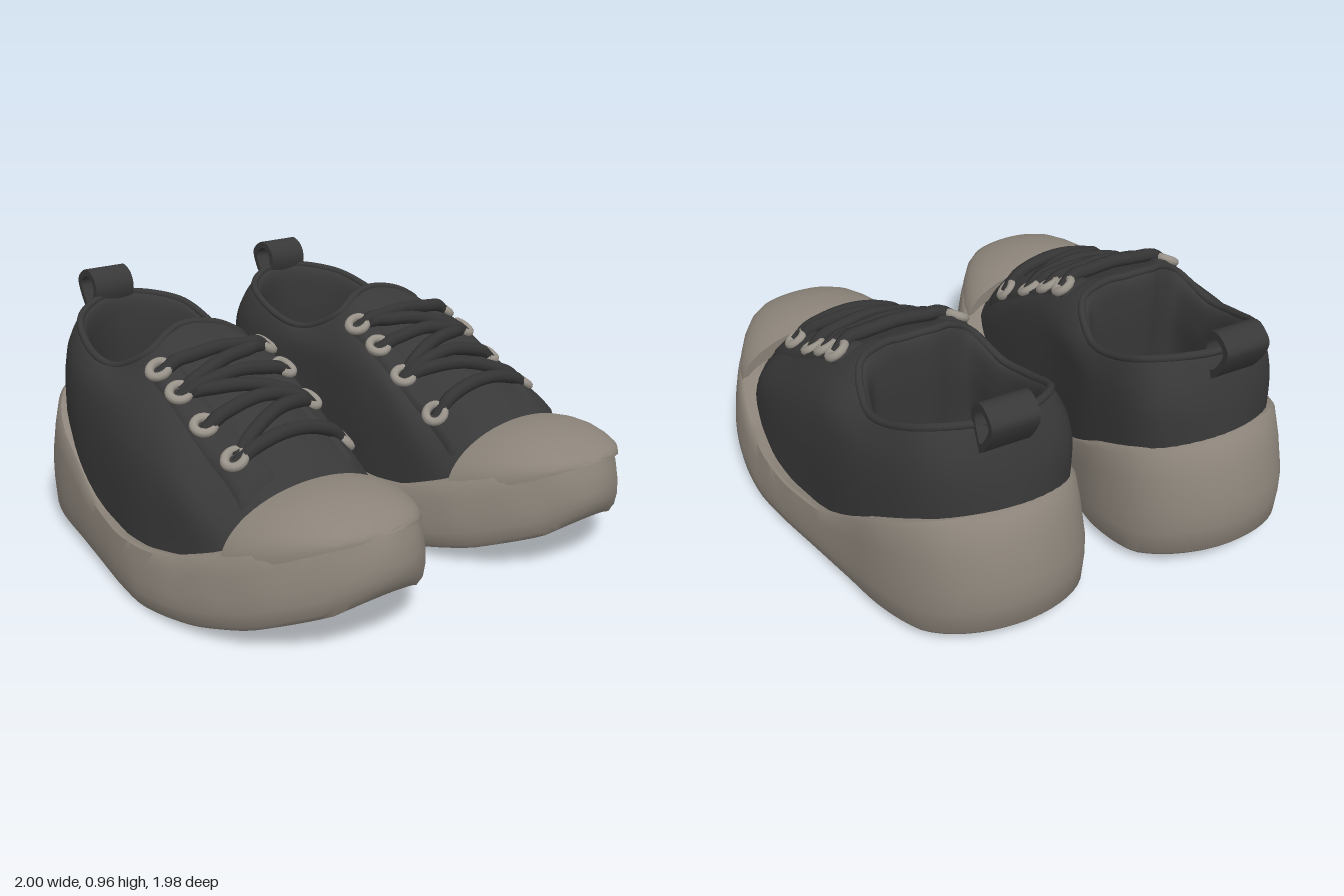
import * as THREE from 'three';
import { toCreasedNormals } from 'three/addons/utils/BufferGeometryUtils.js';

const V = (x, y, z) => new THREE.Vector3(x, y, z);

const mat = (name, color, side = THREE.FrontSide) => {
  const m = new THREE.MeshStandardMaterial({ color, side });
  m.name = name;
  return m;
};

// Grid surface from rows of points; rows may close on themselves.
function gridGeometry(rows, closed) {
  const n = rows[0].length, index = [];
  for (let j = 0; j < rows.length - 1; j++) {
    for (let i = 0; i < (closed ? n : n - 1); i++) {
      const k = (i + 1) % n, a = j * n + i, b = j * n + k, c = b + n, d = a + n;
      index.push(a, b, c, a, c, d);
    }
  }
  const g = new THREE.BufferGeometry().setFromPoints(rows.flat());
  g.setIndex(index);
  g.computeVertexNormals();
  return g;
}

// Linear lookup in a list of [x, value] pairs.
function lookup(table, x) {
  if (x <= table[0][0]) return table[0][1];
  for (let i = 1; i < table.length; i++) {
    const [x0, y0] = table[i - 1], [x1, y1] = table[i];
    if (x <= x1) return y0 + (y1 - y0) * (x - x0) / (x1 - x0);
  }
  return table[table.length - 1][1];
}

// Mirrored copy in z with the corner order turned round.
function mirrorZ(geometry) {
  const g = geometry.index ? geometry.toNonIndexed() : geometry.clone();
  g.scale(1, 1, -1);
  g.setIndex([...Array(g.attributes.position.count).keys()].map(i => [i, i + 1, i - 1][i % 3]));
  return g;
}

// Sole outline seen from above, as [x, z]
const OUTLINE = [[-1, .42], [-.97, .58], [-.9, .69], [-.8, .765], [-.64, .83], [-.42, .875], [-.2, .92], [.02, .965],
  [.2, .99], [.4, .985], [.6, .94], [.75, .87], [.88, .755], [.97, .62], [1, .5], [.965, .37], [.88, .26], [.76, .165],
  [.6, .085], [.4, .05], [.2, .08], [0, .125], [-.3, .1], [-.6, .06], [-.8, .1], [-.9, .17], [-.97, .28]];
const BOTTOM = [[-1, .09], [-.8, .03], [-.4, .015], [0, .003], [.2, 0], [.5, .03], [.7, .07], [.9, .14], [1, .22]];
const TOP = [[-1, .54], [-.85, .49], [-.62, .4], [-.4, .285], [-.3, .24], [-.2, .215], [0, .2], [.2, .21], [.4, .24],
  [.6, .3], [.8, .37], [.93, .41], [1, .41]];

function soleGeometry() {
  const outline = new THREE.CatmullRomCurve3(OUTLINE.map(([x, z]) => V(x, 0, z)), true).getSpacedPoints(110).slice(0, -1);
  // [scale, height share or null for the underside, lift, extra forefoot narrowing]
  const rings = [[.001, null, 0, 0], [.35, null, 0, 0], [.7, null, 0, 0], [.97, null, 0, 0], [.99, 0, .015, 0],
    [1, .25, 0, 0], [1, .45, 0, .01], [.988, .75, 0, .03], [.97, .97, 0, .045], [.95, 1, 0, .05], [.84, 1, -.02, .03]];
  const rows = rings.map(([s, share, lift, narrow]) => outline.map((p, i) => {
    let x = p.x * s;
    const front = THREE.MathUtils.smoothstep(p.x, -.1, .35);
    const z = .5 + (p.z - .5) * (s - narrow * front);
    if (share === null) return V(x, lookup(BOTTOM, x), z);
    const lo = lookup(BOTTOM, p.x), hi = lookup(TOP, p.x);
    if (share > .45) x += .055 * (share - .45) / .55 * THREE.MathUtils.smoothstep(-p.x, .55, 1);
    const ripple = p.x > -.1 && share > .3 && share < .9 ? .006 * Math.sin(i * 1.3) : 0;
    return V(x, lo + (hi - lo) * share + lift + ripple, z);
  }));
  return toCreasedNormals(gridGeometry(rows, true), .75);
}

// Upper rings: half loops from heel to toe on the outer side, [x, y, outer z, inner z]
const BASE = [[-.9, .5, .41, .41], [-.8, .45, .67, .17], [-.5, .3, .825, .1], [-.15, .17, .885, .14],
  [.2, .18, .92, .13], [.57, .25, .85, .18], [.62, .40, .7, .3], [.66, .39, .5, .5]];
const MIDDLE = [[-.88, .66, .415, .415], [-.79, .65, .67, .16], [-.5, .55, .815, .105], [-.18, .5, .865, .14],
  [.14, .47, .875, .145], [.43, .4, .85, .18], [.45, .52, .68, .3], [.45, .565, .48, .48]];
const SHOULDER = [[-.85, .78, .42, .42], [-.75, .75, .67, .17], [-.48, .66, .79, .12], [-.22, .65, .815, .145],
  [.02, .655, .775, .175], [.2, .59, .735, .21], [.16, .65, .6, .33], [.14, .68, .46, .46]];
const COLLAR = [[-.82, .85, .42, .42], [-.7, .81, .655, .195], [-.48, .725, .735, .155], [-.33, .705, .725, .18],
  [-.19, .775, .67, .24], [-.2, .83, .58, .33], [-.225, .845, .52, .4], [-.23, .85, .46, .46]];

const fullLoop = half => [
  ...half.map(([x, y, z]) => V(x, y, z)),
  ...half.slice(1, -1).reverse().map(([x, y, , z]) => V(x, y, z))];

function upperGeometry() {
  const collar = fullLoop(COLLAR);
  const inside = (s, f) => collar.map(p => V(-.5 + (p.x + .5) * s, f(p.y), .44 + (p.z - .44) * s));
  const loops = [fullLoop(BASE), fullLoop(MIDDLE), fullLoop(SHOULDER), collar,
    inside(.92, y => y - .02), inside(.88, y => y - .15), inside(.95, () => .33), inside(.8, () => .25), inside(.001, () => .24)];
  const curves = loops.map(l => new THREE.CatmullRomCurve3(l, true));
  const columns = [];
  for (let i = 0; i < 84; i++) {
    columns.push(new THREE.CatmullRomCurve3(curves.map(c => c.getPoint(i / 84))).getPoints(48));
  }
  return gridGeometry(columns[0].map((_, j) => columns.map(c => c[j])), true);
}

// Domed toe cap from arched sections: [x, half width, base y, top y]
function toeCapGeometry() {
  const sections = [[.585, .375, .25, .40], [.58, .39, .25, .475], [.64, .375, .27, .485], [.72, .34, .3, .488],
    [.8, .295, .33, .478], [.87, .24, .36, .462], [.92, .18, .38, .44], [.95, .115, .39, .42], [.965, .01, .4, .405]];
  const rows = sections.map(([x, w, lo, hi]) => Array.from({ length: 33 }, (_, i) => {
    const a = Math.PI * i / 32;
    return V(x, lo + (hi - lo) * Math.pow(Math.max(0, Math.sin(a)), .88), .515 - w * Math.cos(a));
  }));
  return toCreasedNormals(gridGeometry(rows, false), .8);
}

// Heel pull loop, a drop-shaped strip
function pullTabGeometry() {
  const ring = inset => [[-.83, .75], [-.785, .86], [-.8, .925], [-.86, .955], [-.922, .915], [-.915, .86], [-.865, .78]]
    .map(([x, y]) => new THREE.Vector2(-.855 + (x + .855) * inset, .875 + (y - .875) * inset));
  const outer = new THREE.SplineCurve([...ring(1), ring(1)[0]]).getPoints(36);
  const hole = new THREE.SplineCurve([...ring(.66), ring(.66)[0]]).getPoints(36);
  const shape = new THREE.Shape(outer);
  shape.holes.push(new THREE.Path(hole));
  const g = new THREE.ExtrudeGeometry(shape, { depth: .175, bevelEnabled: false });
  g.translate(0, 0, .36);
  return toCreasedNormals(g, .7);
}

export function createModel() {
  const rubber = mat('rubber', 0x8c847a, THREE.DoubleSide);
  const canvas = mat('canvas', 0x383838, THREE.DoubleSide);
  const cord = mat('lace cord', 0x343434);
  const metal = mat('eyelet metal', 0x99938a);

  const shoe = new THREE.Group();
  const add = (name, geometry, material) => {
    const m = new THREE.Mesh(geometry, material);
    m.name = name;
    shoe.add(m);
    return m;
  };

  add('sole', soleGeometry(), rubber);
  add('toeCap', toeCapGeometry(), rubber);
  const upper = add('upper', upperGeometry(), canvas);
  add('collarPiping', new THREE.TubeGeometry(new THREE.CatmullRomCurve3(fullLoop(COLLAR), true), 90, .015, 8, true), canvas);
  add('pullTab', pullTabGeometry(), canvas);

  // Finds the upper's surface below a point, lifted along its normal;
  // a point beyond the edge moves in towards the middle
  const ray = new THREE.Raycaster();
  const drop = (x, z, lift) => {
    let hit;
    for (let k = 0; k < 20 && !hit; k++) {
      ray.set(V(x, 2, z + (.4713 - z) * k * .04), V(0, -1, 0));
      hit = ray.intersectObject(upper)[0];
    }
    const n = hit.face.normal.clone();
    if (n.y < 0) n.negate();
    return { p: hit.point.clone().addScaledVector(n, lift), n };
  };

  // Raised eyelet panels either side of the tongue, the outer one flaring towards the toe
  for (const s of [1, -1]) {
    const flare = s > 0 ? .04 : 0;
    const rows = [];
    for (let j = 0; j <= 8; j++) {
      const row = [];
      for (let i = 0; i <= 26; i++) {
        const edge = i === 0 || i === 26 || j === 0 || j === 8;
        const x = -.12 + .66 * i / 26;
        row.push(drop(x, .47 + s * (.15 + (.12 + flare * i / 26) * j / 8), edge ? -.008 : .012).p);
      }
      rows.push(row);
    }
    add('eyeletPanel', gridGeometry(s > 0 ? rows : rows.reverse(), false), canvas);
  }

  // Eyelets
  const eyeletX = [-.06, .06, .21, .4];
  for (const x of eyeletX) {
    for (const z of [.24, .7]) {
      const { p, n } = drop(x, z, .018);
      const g = new THREE.TorusGeometry(.036, .017, 8, 20);
      g.applyQuaternion(new THREE.Quaternion().setFromUnitVectors(V(0, 0, 1), n));
      g.translate(p.x, p.y, p.z);
      add('eyelet', g, metal);
    }
  }

  // Laces: a bar at each row and a slanted cord between rows
  const lace = (name, x0, x1, z0, z1, lift) => {
    const pts = [];
    for (let i = 0; i <= 8; i++) {
      const t = i / 8, end = i === 0 || i === 8;
      pts.push(drop(x0 + (x1 - x0) * t, z0 + (z1 - z0) * t, end ? .005 : lift).p);
    }
    add(name, new THREE.TubeGeometry(new THREE.CatmullRomCurve3(pts), 36, .027, 8), cord);
  };
  eyeletX.forEach((x, i) => {
    lace('laceBar', x + .01, x + .015, .235, .705, i === 3 ? .02 : .028);
    if (i < 3) lace('laceCross', x + .01, eyeletX[i + 1], i % 2 ? .69 : .25, i % 2 ? .25 : .69, .022);
  });

  // The pair: the shoe and its mirrored partner
  const pair = new THREE.Group();
  shoe.name = 'nearShoe';
  const partner = new THREE.Group();
  partner.name = 'farShoe';
  for (const m of shoe.children) {
    const copy = new THREE.Mesh(mirrorZ(m.geometry), m.material);
    copy.name = m.name;
    partner.add(copy);
  }
  pair.name = 'pairOfShoes';
  pair.add(shoe, partner);
  return pair;
}
